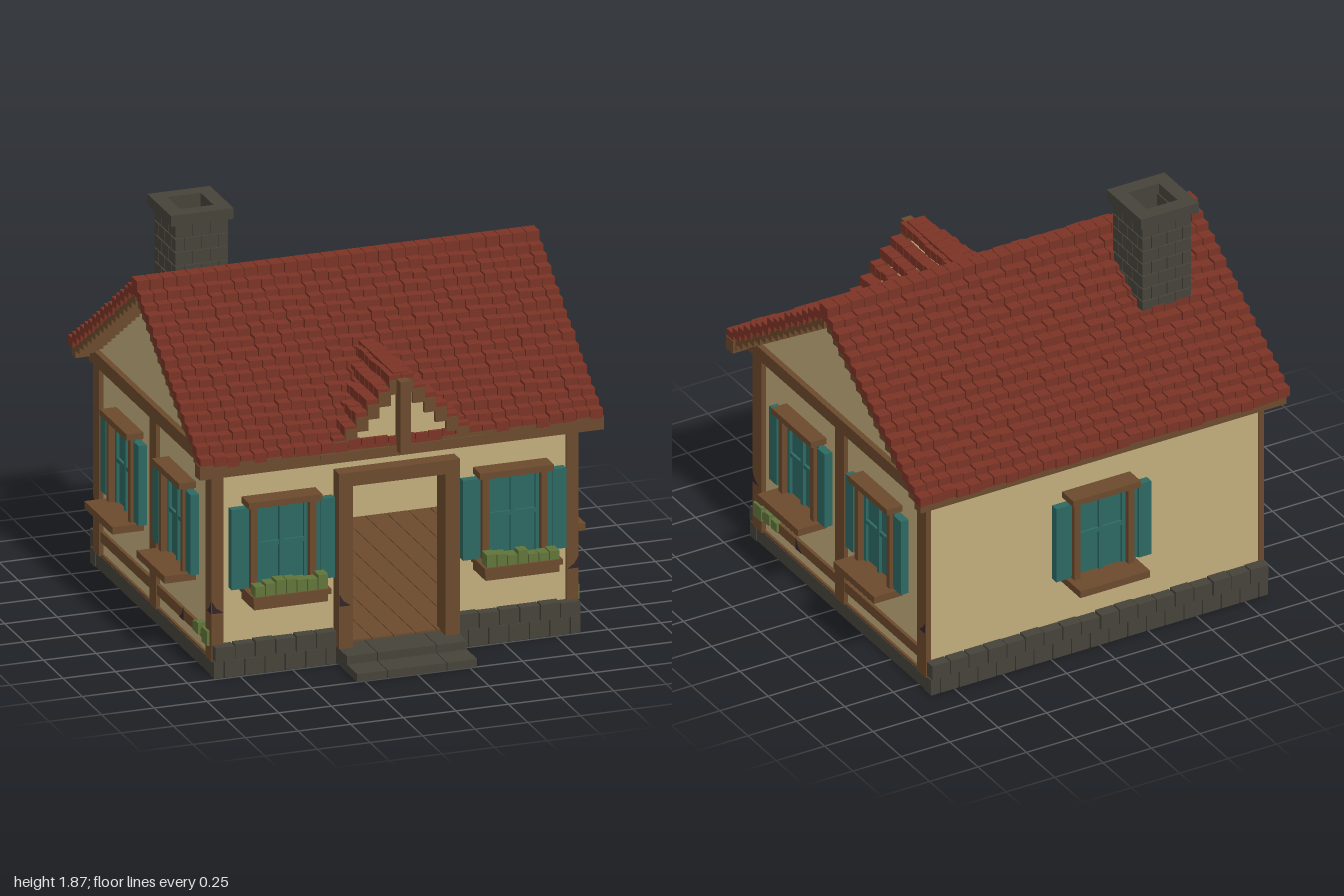
import * as THREE from 'three';
import { mergeGeometries } from 'three/addons/utils/BufferGeometryUtils.js';

const mat = (name, color, side = THREE.FrontSide) =>
  Object.assign(new THREE.MeshStandardMaterial({ color, side }), { name });
const plaster = mat('plaster', 0xc2ac7c), wood = mat('timber', 0x6b4a2c), darkWood = mat('dark timber', 0x4c3421);
const stone = mat('stone', 0x46433a), tile = mat('roof tile', 0x7b3325), teal = mat('teal paint', 0x2c6862);
const leaf = mat('leaf', 0x61743a), stain = mat('dark stain', 0x35252a, THREE.DoubleSide);

let seed = 7;
const rand = () => (seed = (seed * 16807) % 2147483647) / 2147483647;
const jitter = (a) => (rand() - 0.5) * 2 * a;

const boxGeo = ([x0, x1, y0, y1, z0, z1]) =>
  new THREE.BoxGeometry(x1 - x0, y1 - y0, z1 - z0).translate((x0 + x1) / 2, (y0 + y1) / 2, (z0 + z1) / 2);

// One mesh made of any number of [x0, x1, y0, y1, z0, z1] boxes
function boxes(parent, name, material, ...list) {
  const mesh = new THREE.Mesh(mergeGeometries(list.map(boxGeo)), material);
  mesh.name = name;
  parent.add(mesh);
  return mesh;
}
const mirrorX = ([x0, x1, ...r]) => [-x1, -x0, ...r];
const both = (...list) => list.flatMap((b) => [b, mirrorX(b)]);

// Window facing +z, with the wall at z = 0
function makeWindow(flowers) {
  const g = new THREE.Group();
  g.name = 'window';
  boxes(g, 'windowPane', teal, [-0.13, 0.13, 0.4, 0.81, 0, 0.03]);
  boxes(g, 'windowBars', teal, [-0.01, 0.01, 0.4, 0.81, 0.03, 0.045], [-0.125, 0.125, 0.6, 0.62, 0.03, 0.043],
    ...both([0.108, 0.125, 0.4, 0.81, 0.03, 0.045]));
  boxes(g, 'windowFrame', wood, ...both([0.125, 0.155, 0.4, 0.81, 0, 0.075]), [-0.175, 0.175, 0.805, 0.835, 0, 0.1]);
  boxes(g, 'shutters', teal, ...both([0.18, 0.245, 0.42, 0.8, 0.03, 0.07], [0.16, 0.18, 0.42, 0.8, 0.03, 0.06]));
  if (!flowers) {
    boxes(g, 'windowSill', wood, [-0.18, 0.18, 0.37, 0.405, 0, 0.17]);
    return g;
  }
  boxes(g, 'flowerBox', wood, [-0.185, 0.185, 0.39, 0.415, 0, 0.19], [-0.175, 0.175, 0.35, 0.39, 0, 0.17]);
  const plants = [];
  for (let i = 0; i < 7; i++) {
    const x = -0.15 + i * 0.05, h = 0.45 + rand() * 0.035;
    plants.push([x - 0.023, x + 0.023, 0.41, h, 0.12 + jitter(0.01), 0.18]);
  }
  boxes(g, 'plants', leaf, ...plants);
  return g;
}

// Two courses of blocks along x between a and b
function courses(a, b, z0, z1) {
  const out = [], n = Math.round((b - a) / 0.095), w = (b - a) / n;
  for (let i = 0; i < n; i++) {
    out.push([a + i * w + 0.003, a + (i + 1) * w - 0.003, 0.082, 0.15 + rand() * 0.01, z0, z1 + jitter(0.004)]);
    out.push([Math.max(a, a + (i - 0.5) * w + 0.003), a + (i + 0.5) * w - 0.003, 0, 0.078, z0, z1 - 0.008]);
  }
  out.push([b - w / 2 + 0.003, b, 0, 0.078, z0, z1 - 0.008]);
  return out;
}

export function createModel() {
  const house = new THREE.Group();
  house.name = 'cottage';
  seed = 7;

  // Foundation and front steps
  boxes(house, 'foundation', stone, [-0.865, 0.865, 0, 0.07, -0.82, 0.71]);
  boxes(house, 'foundationBlocks', stone, ...courses(-0.87, -0.29, 0.69, 0.75), ...courses(0.29, 0.87, 0.69, 0.75),
    ...courses(-0.87, 0.87, -0.82, -0.805).map(([a, b, c, d, , z]) => [a, b, c, d, -1.675 - z + 0.0, -0.8]));
  const steps = [];
  for (const [a, b] of [[-0.285, -0.143], [-0.139, 0.139], [0.143, 0.285]])
    steps.push([a, b, 0, 0.038, 0.86, 1], [a, b, 0, 0.077, 0.7, 0.87]);
  boxes(house, 'frontSteps', stone, ...steps);

  // Plaster walls: front with a doorway, plain back, and two gables
  boxes(house, 'frontWall', plaster, ...both([0.22, 0.83, 0.07, 1.03, 0.67, 0.7]), [-0.22, 0.22, 0.85, 1.03, 0.67, 0.7]);
  boxes(house, 'backWall', plaster, [-0.848, 0.848, 0.07, 1.03, -0.815, -0.785]);
  const gable = new THREE.Shape([[-0.7, 0.07], [0.81, 0.07], [0.81, 1.05], [0.055, 1.555], [-0.7, 1.05]]
    .map(([s, y]) => new THREE.Vector2(s, y)));
  for (const x of [-0.85, 0.82]) {
    const wall = new THREE.Mesh(new THREE.ExtrudeGeometry(gable, { depth: 0.03, bevelEnabled: false }).rotateY(Math.PI / 2), plaster);
    wall.position.x = x;
    wall.name = 'gableWall';
    house.add(wall);
  }

  // Timber framing
  boxes(house, 'cornerPosts', wood, ...both([0.815, 0.872, 0.07, 1, 0.635, 0.715], [0.845, 0.872, 0.07, 1, -0.82, -0.74]));
  boxes(house, 'sideTimbers', wood, ...both([0.84, 0.87, 0.07, 1.03, -0.09, -0.01],
    [0.84, 0.866, 0.14, 0.19, -0.75, 0.64], [0.84, 0.862, 0.07, 0.08, -0.75, 0.64], [0.84, 0.878, 0.965, 1.03, -0.86, 0.77]));
  boxes(house, 'eaveBeams', wood, [-0.96, 0.96, 0.975, 1.04, 0.74, 0.802], [-0.94, 0.94, 0.985, 1.03, -0.88, -0.85]);

  // Doorway, open door and room
  boxes(house, 'doorFrame', wood, ...both([0.22, 0.287, 0.077, 0.85, 0.66, 0.77]), [-0.287, 0.287, 0.845, 0.91, 0.66, 0.772]);
  boxes(house, 'openDoor', darkWood, [-0.218, -0.195, 0.09, 0.84, 0.3, 0.67]);
  const planks = [];
  for (let i = 0; i < 16; i++) planks.push([-0.82 + i * 0.1025, -0.721 + i * 0.1025, 0.07, 0.085, -0.785, 0.7]);
  boxes(house, 'floorPlanks', wood, ...planks);
  boxes(house, 'hearth', stone, [-0.16, 0.16, 0.14, 0.46, -0.785, -0.62], ...both([0.17, 0.22, 0.085, 0.48, -0.785, -0.6]),
    [-0.22, 0.22, 0.085, 0.14, -0.785, -0.58]);
  boxes(house, 'mantel', wood, [-0.235, 0.235, 0.48, 0.53, -0.785, -0.57]);

  // Windows on all four sides
  const place = (x, z, turn, flowers) => {
    const w = makeWindow(flowers);
    w.position.set(x, 0, z);
    w.rotation.y = turn;
    house.add(w);
  };
  for (const s of [-1, 1]) {
    place(s * 0.55, 0.695, 0, true);
    for (const z of [0.275, -0.4]) place(s * 0.83, z, s * Math.PI / 2, false);
  }
  place(0, -0.83, Math.PI, false);

  // Main roof: stepped boards below, individual tiles above, ridge caps
  const mid = -0.055, rows = 16, dz = 0.0515, dy = 0.0345, cols = 30, cw = 1.916 / cols;
  const boards = [], tiles = [], ridge = [];
  const span = (s, inner, outer) => s > 0 ? [mid + inner, mid + outer] : [mid - outer, mid - inner];
  for (const s of [-1, 1]) for (let i = 0; i < rows; i++) {
    const outer = 0.857 - i * dz, top = 1.072 + i * dy;
    boards.push([-0.945, 0.945, top - 0.085, top - 0.03, ...span(s, outer - 0.07, outer - 0.016)]);
    for (let c = 0; c < cols; c++) {
      const x = -0.958 + c * cw, d = jitter(0.006);
      tiles.push([x + 0.002, x + cw - 0.002, top - 0.045 + d, top + d, ...span(s, outer - 0.058, outer + jitter(0.003))]);
    }
  }
  for (let c = 0; c < cols; c++) ridge.push([-0.957 + c * cw, -0.96 + (c + 1) * cw, 1.56, 1.637, mid - 0.036, mid + 0.036]);
  boxes(house, 'roofBoards', wood, ...boards);
  boxes(house, 'roofTiles', tile, ...tiles);
  boxes(house, 'ridgeTiles', tile, ...ridge);

  // Small gable roof above the door
  const trim = [], porchTiles = [];
  for (let i = 0; i < 6; i++) {
    const top = 1.345 - i * 0.052, x0 = i * 0.053, x1 = x0 + 0.056;
    trim.push(...both([x0, x1, top - 0.078, top - 0.01, 0.74, 0.803]));
    const back = 0.8 - (top - 1.07) / 0.67 - 0.02;
    const n = Math.max(1, Math.round((0.8 - back) / 0.055)), w = (0.8 - back) / n;
    for (let k = 0; k < n; k++) {
      const d = jitter(0.005);
      porchTiles.push(...both([x0 + 0.001, x1 + 0.004, top - 0.035 + d, top + 0.008 + d, back + k * w + 0.002, back + (k + 1) * w - 0.002]));
    }
  }
  for (let k = 0; k < 8; k++) porchTiles.push([-0.035, 0.035, 1.335, 1.365, 0.33 + k * 0.057, 0.384 + k * 0.057]);
  boxes(house, 'porchTrim', wood, ...trim, [-0.39, 0.39, 1.005, 1.025, 0.74, 0.81]);
  boxes(house, 'porchTiles', tile, ...porchTiles);
  const tri = new THREE.Shape([[-0.29, 1.03], [0.29, 1.03], [0, 1.32]].map((p) => new THREE.Vector2(...p)));
  const porchGable = new THREE.Mesh(new THREE.ExtrudeGeometry(tri, { depth: 0.05, bevelEnabled: false }).translate(0, 0, 0.735), plaster);
  porchGable.name = 'porchGable';
  house.add(porchGable);
  boxes(house, 'kingPost', wood, [-0.025, 0.025, 1, 1.34, 0.78, 0.852]);

  // Hollow chimney of staggered bricks with an open cap
  const ring = (x0, x1, z0, z1, t, y0, y1) => [
    [x0, x1, y0, y1, z0, z0 + t], [x0, x1, y0, y1, z1 - t, z1], [x0, x0 + t, y0, y1, z0 + t, z1 - t], [x1 - t, x1, y0, y1, z0 + t, z1 - t]];
  boxes(house, 'chimneyCore', stone, ...ring(-0.707, -0.475, -0.437, -0.188, 0.04, 1.15, 1.82));
  const bricks = [];
  for (let r = 0; r < 10; r++) {
    const y0 = 1.172 + r * 0.065, y1 = y0 + 0.059, cuts = r % 2 ? [0, 0.33, 0.67, 1] : [0, 0.18, 0.5, 0.82, 1];
    for (let i = 0; i + 1 < cuts.length; i++) {
      const a = cuts[i], b = cuts[i + 1], xa = -0.717 + a * 0.252 + 0.002, xb = -0.717 + b * 0.252 - 0.002;
      const za = -0.445 + a * 0.265 + 0.002, zb = -0.445 + b * 0.265 - 0.002;
      bricks.push([xa, xb, y0, y1, -0.445, -0.43], [xa, xb, y0, y1, -0.195, -0.18],
        [-0.717, -0.702, y0, y1, za, zb], [-0.48, -0.465, y0, y1, za, zb]);
    }
  }
  boxes(house, 'chimneyBricks', stone, ...bricks);
  boxes(house, 'chimneyCap', stone, ...ring(-0.743, -0.445, -0.467, -0.162, 0.07, 1.82, 1.872));

  // Moss by the front corners and dark stains on the timbers
  boxes(house, 'moss', leaf, ...both([0.85, 0.885, 0.14, 0.21, 0.62, 0.69], [0.85, 0.89, 0.16, 0.215, 0.54, 0.585],
    [0.85, 0.88, 0.15, 0.195, 0.49, 0.54], [0.85, 0.878, 0.15, 0.19, 0.585, 0.62]));
  const stainAt = (x, y, z, turn, flip) => {
    const s = new THREE.Shape([[0, 0], [0.055, 0], [0.02, 0.025], [0, 0.06]].map((p) => new THREE.Vector2(...p)));
    const m = new THREE.Mesh(new THREE.ShapeGeometry(s), stain);
    m.position.set(x, y, z);
    m.rotation.y = turn;
    m.scale.x = flip;
    m.name = 'stain';
    house.add(m);
  };
  stainAt(-0.872, 0.3, 0.718, 0, 1);
  stainAt(0.872, 0.3, 0.718, 0, -1);
  stainAt(-0.287, 0.28, 0.774, 0, 1);
  for (const s of [-1, 1]) {
    stainAt(s * 0.875, 0.3, 0.713, s * Math.PI / 2, s);
    stainAt(s * 0.875, 0.3, -0.818, s * Math.PI / 2, -s);
    stainAt(s * 0.869, 0.14, 0.34, s * Math.PI / 2, s);
  }
  return house;
}
